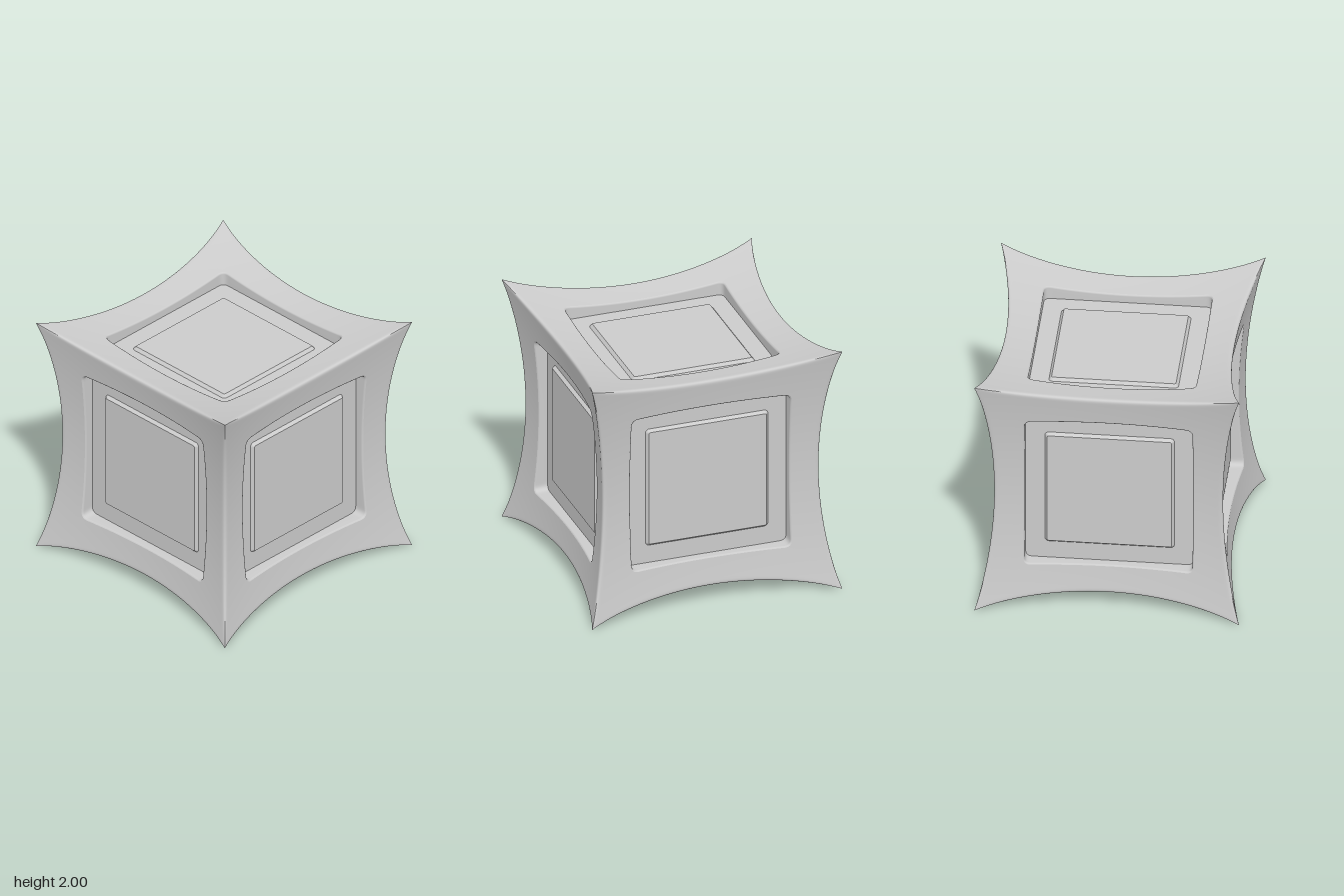
import * as THREE from 'three';

const B = 0.1046, A = 1 - 2 * B;            // dished face: z = A + B (x² + y²)
const HOLE = 0.635, RIM = 0.01, FLOOR = 0.765, PER_SIDE = 40;
const material = new THREE.MeshStandardMaterial({ color: 0xcccccc });

const dish = (x, y) => A + B * (x * x + y * y);
// Distance of the cube's edge from the centre, at position v along that edge
const edge = (v) => (1 - Math.sqrt(1 - 4 * B * (A + B * v * v))) / (2 * B);

// Point on a rounded square of half size h, for v in -1..1 along its +x side
function roundedSide(h, r, v) {
  const c = h - r, y = h * v;
  const cy = THREE.MathUtils.clamp(y, -c, c);
  const len = Math.hypot(r, y - cy);
  return [c + (r * r) / len, cy + (r * (y - cy)) / len];
}

// Closed four-sided band; point(row, v) gives [outward, along, z] on one side
function squareLoft(rows, point) {
  const pos = [], index = [], n = PER_SIDE * 4;
  for (let j = 0; j < rows; j++) {
    for (let i = 0; i < n; i++) {
      const v = Math.sin((Math.PI / 2) * ((2 * (i % PER_SIDE)) / PER_SIDE - 1));
      let [x, y, z] = point(j, v);
      for (let k = Math.floor(i / PER_SIDE); k > 0; k--) [x, y] = [-y, x];
      pos.push(x, y, z);
      if (j === 0) continue;
      const a = (j - 1) * n + i, b = (j - 1) * n + ((i + 1) % n);
      index.push(a, a + n, b + n, a, b + n, b);
    }
  }
  const g = new THREE.BufferGeometry();
  g.setAttribute('position', new THREE.Float32BufferAttribute(pos, 3));
  g.setIndex(index);
  g.computeVertexNormals();
  return g;
}

// Curved frame from the recess rim to the softly rounded cube edges
function frameGeometry() {
  const rows = 14, width = 0.04, drop = 0.012;
  return squareLoft(rows, (j, v) => {
    const s = 1 - Math.pow(1 - j / (rows - 1), 1.7);
    const [u0, v0] = roundedSide(HOLE + RIM, 0.055, v);
    const u1 = edge(v);
    const x = u0 + (u1 - u0) * s, y = v0 + (v - v0) * s;
    const near = Math.max(0, 1 - (u1 - x) / width);
    const f = drop * near * near * (1 - Math.pow(v, 6));
    return [x - f, y, dish(x, y) - f];
  });
}

// Upright recess wall with a small rolled lip
function wallGeometry() {
  const profile = [[0, null], [0, 0.014], [0.001, 0.008], [0.004, 0.003], [RIM, 0]];
  return squareLoft(profile.length, (j, v) => {
    const [out, below] = profile[j];
    const [x, y] = roundedSide(HOLE + out, 0.045 + out, v);
    return [x, y, below === null ? FLOOR : dish(x, y) - below];
  });
}

function roundedSquare(h, r) {
  const s = new THREE.Shape(), c = h - r;
  s.absarc(c, c, r, 0, Math.PI / 2);
  s.absarc(-c, c, r, Math.PI / 2, Math.PI);
  s.absarc(-c, -c, r, Math.PI, Math.PI * 1.5);
  s.absarc(c, -c, r, Math.PI * 1.5, Math.PI * 2);
  s.closePath();
  return s;
}

export function createModel() {
  const model = new THREE.Group();
  model.name = 'pinchedCube';

  // Parts shared by all six sides
  const floor = new THREE.ShapeGeometry(roundedSquare(HOLE, 0.045), 6);
  floor.translate(0, 0, FLOOR);
  const panel = new THREE.ExtrudeGeometry(roundedSquare(0.47, 0.012), {
    depth: 0.01, bevelThickness: 0.025, bevelSize: 0.02, bevelSegments: 1, curveSegments: 3,
  });
  panel.translate(0, 0, FLOOR - 0.01);
  const parts = { frame: frameGeometry(), recessWall: wallGeometry(), recessFloor: floor, raisedPanel: panel };

  const q = Math.PI / 2;
  const sides = {
    front: [0, 0], left: [0, q], back: [0, 2 * q], right: [0, -q], top: [-q, 0], bottom: [q, 0],
  };
  for (const [name, [rx, ry]] of Object.entries(sides)) {
    const side = new THREE.Group();
    side.name = name + 'Side';
    for (const [part, geometry] of Object.entries(parts)) {
      const mesh = new THREE.Mesh(geometry, material);
      mesh.name = part;
      side.add(mesh);
    }
    side.rotation.set(rx, ry, 0);
    side.position.y = 1;
    model.add(side);
  }
  return model;
}
